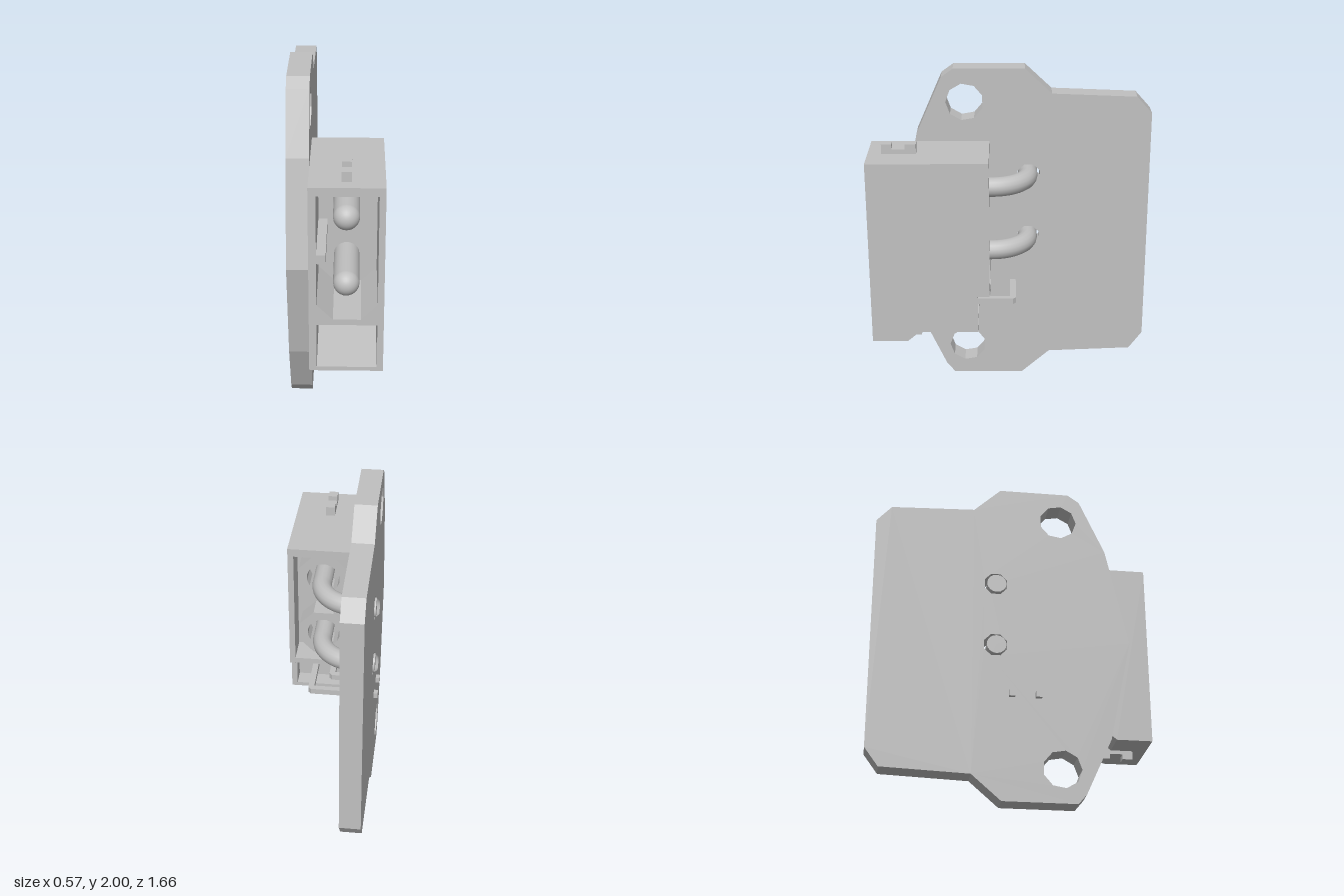
import * as THREE from 'three';

export function createModel() {
  const model = new THREE.Group();
  const grey = new THREE.MeshStandardMaterial({ color: 0xc0c0c0 });
  grey.name = 'plain grey';

  const add = (name, geometry, parent = model) => {
    const mesh = new THREE.Mesh(geometry, grey);
    mesh.name = name;
    parent.add(mesh);
    return mesh;
  };
  const group = (name) => {
    const g = new THREE.Group();
    g.name = name;
    model.add(g);
    return g;
  };
  // Box given by its limits on each axis
  const box = (name, [x0, x1], [y0, y1], [z0, z1], parent) =>
    add(name, new THREE.BoxGeometry(x1 - x0, y1 - y0, z1 - z0)
      .translate((x0 + x1) / 2, (y0 + y1) / 2, (z0 + z1) / 2), parent);
  // Regular polygon path, used for holes and bosses
  const ring = (cx, cy, r, n, Type = THREE.Path) => {
    const pts = [];
    for (let i = 0; i < n; i++) {
      const a = (i + 0.5) / n * Math.PI * 2;
      pts.push(new THREE.Vector2(cx + r * Math.cos(a), cy + r * Math.sin(a)));
    }
    return new Type(pts);
  };
  // Side profile of [z, y] points, extruded from x0 to x1
  const profile = (name, pts, x0, x1, parent, holes = []) => {
    const shape = new THREE.Shape(pts.map(([z, y]) => new THREE.Vector2(-z, y)));
    holes.forEach(([z, y, r, n]) => shape.holes.push(ring(-z, y, r, n)));
    const g = new THREE.ExtrudeGeometry(shape, { depth: x1 - x0, bevelEnabled: false });
    return add(name, g.rotateY(Math.PI / 2).translate(x0, 0, 0), parent);
  };
  // Front shape in x, y, extruded from z0 to z1
  const extrudeZ = (name, shape, z0, z1, parent) =>
    add(name, new THREE.ExtrudeGeometry(shape, { depth: z1 - z0, bevelEnabled: false })
      .translate(0, 0, z0), parent);

  const pinX = 0.072, pinYs = [0.945, 1.345];

  // Mounting plate with two bolt holes and two clearance holes
  profile('mountingPlate', [
    [0.34, 2], [-0.08, 2], [-0.24, 1.85], [-0.74, 1.83], [-0.83, 1.73],
    [-0.83, 0.28], [-0.75, 0.17], [-0.24, 0.15], [-0.07, 0], [0.36, 0],
    [0.41, 0.06], [0.56, 0.39], [0.69, 1], [0.56, 1.61], [0.41, 1.95],
  ], -0.26, -0.132, model, [
    [0.275, 1.8, 0.112, 9], [0.275, 0.2, 0.112, 9],
    ...pinYs.map((y) => [-0.105, y, 0.072, 8]),
  ]);

  // Connector housing: side walls, roof, divider, floor and middle wall
  const housing = group('housing');
  const side = [
    [0.83, 0.44], [0.83, 1.56], [0.13, 1.56], [0.13, 0.73],
    [0.2, 0.73], [0.2, 0.5], [0.55, 0.5], [0.62, 0.44],
  ];
  profile('rightWall', side, -0.132, -0.09, housing);
  profile('leftWall', side, 0.245, 0.28, housing);
  const inner = [-0.09, 0.245];
  box('roof', inner, [1.51, 1.56], [0.13, 0.83], housing);
  box('divider', inner, [0.735, 0.77], [0.13, 0.83], housing);
  box('middleWall', inner, [0.52, 1.51], [0.3, 0.38], housing);
  profile('floor', [
    [0.83, 0.44], [0.83, 0.465], [0.4, 0.525], [0.2, 0.525],
    [0.2, 0.5], [0.55, 0.5], [0.62, 0.44],
  ], ...inner, housing);
  box('keyRib', [-0.09, -0.038], [1.112, 1.165], [0.38, 0.83], housing);
  // Cut corners at the bottom of the main socket
  for (const [x, dx] of [[-0.09, 0.09], [0.245, -0.09]]) {
    const corner = new THREE.Shape([
      new THREE.Vector2(x, 0.77), new THREE.Vector2(x + dx, 0.77), new THREE.Vector2(x, 0.86),
    ]);
    extrudeZ('socketCorner', corner, 0.38, 0.83, housing);
  }

  // Notched latch tabs on the roof and under the floor
  for (const [name, y0, sign] of [['topTab', 1.555, 1], ['bottomTab', 0.45, -1]]) {
    const tab = group(name);
    for (const [z0, z1, h] of [[0.55, 0.615, 0.062], [0.615, 0.69, 0.032], [0.69, 0.75, 0.062]]) {
      const ys = [y0, y0 + sign * h].sort((a, b) => a - b);
      box('tabStep', [0.045, 0.1], ys, [z0, z1], tab);
    }
  }

  // Large contacts: rounded pin, rear boss and bent tail through the plate
  for (const y of pinYs) {
    const contact = group('powerContact');
    add('pin', new THREE.CapsuleGeometry(0.073, 0.38, 8, 24)
      .rotateX(Math.PI / 2).translate(pinX, y, 0.535), contact);
    const boss = ring(pinX, y, 0.16, 8, THREE.Shape);
    boss.holes.push(ring(pinX, y, 0.1, 16));
    extrudeZ('rearBoss', boss, 0.17, 0.3, contact);

    const path = new THREE.CurvePath();
    const v = (x, z) => new THREE.Vector3(x, y, z);
    path.add(new THREE.LineCurve3(v(pinX, 0.32), v(pinX, 0.12)));
    path.add(new THREE.CubicBezierCurve3(v(pinX, 0.12), v(pinX, 0), v(-0.02, -0.1), v(-0.14, -0.1)));
    path.add(new THREE.LineCurve3(v(-0.14, -0.1), v(-0.27, -0.1)));
    add('bentTail', new THREE.TubeGeometry(path, 40, 0.058, 16), contact);
    add('tailTip', new THREE.CylinderGeometry(0.058, 0.042, 0.018, 16)
      .rotateZ(-Math.PI / 2).scale(-1, 1, 1).rotateY(Math.PI).translate(-0.277, y, -0.1), contact);
  }

  // Small square signal pins, each bent once towards the plate
  for (const [x, z] of [[0.015, 0.145], [0.13, -0.01]]) {
    const t = 0.018;
    profileBend(x, z, t);
  }
  function profileBend(x, z, t) {
    // Outline lies in x, z and is given thickness in y
    const outline = [
      [x - t, 0.6], [x + t, 0.6], [x + t, z], [x, z - t],
      [-0.285, z - t], [-0.285, z + t], [x - t, z + t],
    ].map(([px, pz]) => new THREE.Vector2(px, -pz));
    const g = new THREE.ExtrudeGeometry(new THREE.Shape(outline), { depth: 2 * t, bevelEnabled: false });
    add('signalPin', g.rotateX(-Math.PI / 2).translate(0, 0.638 - t, 0));
  }

  return model;
}
